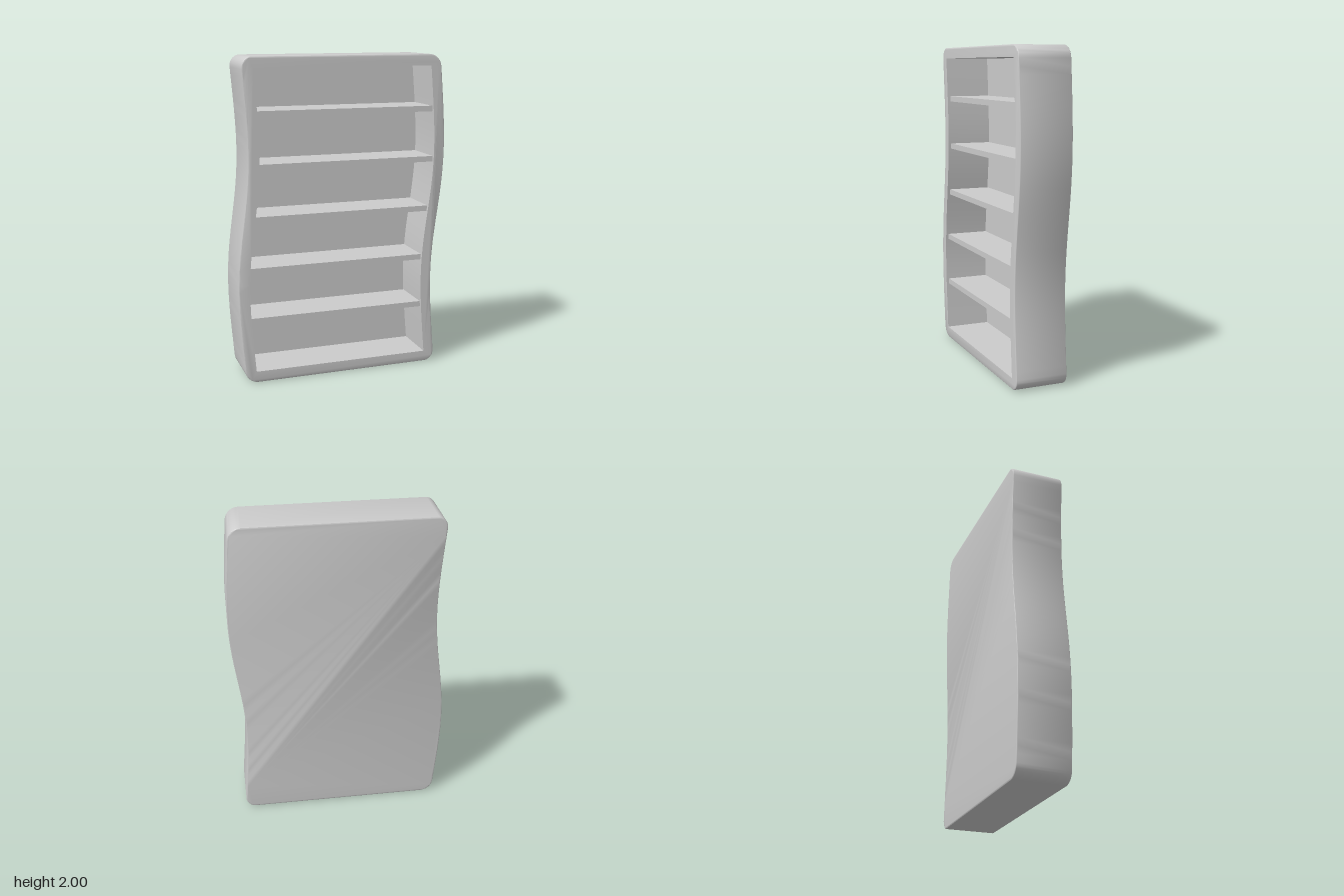
import * as THREE from 'three';
import { mergeGeometries, toCreasedNormals } from 'three/addons/utils/BufferGeometryUtils.js';

const FRONT = 0.163, FLOOR = -0.13;   // front face and recess floor along z

// Sideways sway of the cabinet at height y
const sway = (y) => {
  const u = Math.PI * (y - 1);
  return -0.003 + 0.036 * Math.sin(u) + 0.0043 * Math.sin(2 * u);
};

// Counter-clockwise swaying rectangle with rounded (r > 0) or sharp corners
function outline(w, y0, y1, r, sideSegs = 40, cornerSegs = 8) {
  const pts = [];
  const add = (x, y) => pts.push(new THREE.Vector2(x + sway(y), y));
  const corner = (cx, cy, start) => {
    if (r === 0) return;
    for (let i = 1; i < cornerSegs; i++) {
      const a = start + (i / cornerSegs) * Math.PI / 2;
      add(cx + r * Math.cos(a), cy + r * Math.sin(a));
    }
    const e = start + Math.PI / 2;
    if (Math.abs(Math.cos(e)) < 0.5) add(cx, cy + r * Math.sin(e));
  };
  const lo = y0 + r, hi = y1 - r;
  for (let i = 0; i <= sideSegs; i++) add(w, lo + (hi - lo) * i / sideSegs);
  corner(w - r, hi, 0);
  corner(r - w, hi, Math.PI / 2);
  for (let i = 0; i <= sideSegs; i++) add(-w, hi - (hi - lo) * i / sideSegs);
  corner(r - w, lo, Math.PI);
  corner(w - r, lo, Math.PI * 1.5);
  return pts;
}

// Wall through a series of { pts, z } rings
function loft(rings) {
  const pos = [], idx = [], n = rings[0].pts.length;
  for (const { pts, z } of rings) for (const p of pts) pos.push(p.x, p.y, z);
  for (let k = 0; k < rings.length - 1; k++) {
    for (let i = 0; i < n; i++) {
      const a = k * n + i, b = k * n + (i + 1) % n;
      idx.push(a, b, b + n, a, b + n, a + n);
    }
  }
  const g = new THREE.BufferGeometry();
  g.setAttribute('position', new THREE.Float32BufferAttribute(pos, 3));
  g.setIndex(idx);
  g.computeVertexNormals();
  return g.toNonIndexed();
}

// Flat face at depth z, optionally with a hole or facing backwards
function face(pts, z, hole, back) {
  const shape = new THREE.Shape(pts);
  if (hole) shape.holes.push(new THREE.Path(hole));
  const g = new THREE.ShapeGeometry(shape);
  g.translate(0, 0, z);
  if (back) g.setIndex(Array.from(g.index.array).reverse());
  g.deleteAttribute('uv');
  g.computeVertexNormals();
  return g.toNonIndexed();
}

export function createModel() {
  const model = new THREE.Group();
  model.name = 'wavyBookcase';
  const mat = new THREE.MeshStandardMaterial({ color: 0xcccccc });
  const add = (name, geo) => {
    const m = new THREE.Mesh(geo, mat);
    m.name = name;
    model.add(m);
  };

  // Cabinet: softened outer shell with a sharp-edged recess
  const outer = (d) => outline(0.633 - d, d, 2 - d, 0.075 - d);
  const inner = outline(0.564, 0.07, 1.93, 0);
  const b = 0.007, steps = 4, rings = [];
  for (let i = 0; i <= steps; i++) {
    const a = (i / steps) * Math.PI / 2;
    rings.push({ pts: outer(b * (1 - Math.sin(a))), z: -FRONT + b * (1 - Math.cos(a)) });
  }
  for (let i = steps; i >= 0; i--) rings.push({ pts: rings[i].pts, z: -rings[i].z });
  const rim = rings[0].pts;
  add('cabinet', toCreasedNormals(mergeGeometries([
    loft(rings),
    face(rim, -FRONT, null, true),
    face(rim, FRONT, inner),
    loft([{ pts: inner, z: FRONT }, { pts: inner, z: FLOOR }]),
    face(inner, FLOOR),
  ]), Math.PI / 5));

  // Shelves, their ends following the swaying sides
  for (let i = 0; i < 5; i++) {
    const y = 0.375 + i * 0.3175;
    const shape = new THREE.Shape(outline(0.566, y, y + 0.035, 0, 2));
    const geo = new THREE.ExtrudeGeometry(shape, { depth: 0.145 - FLOOR, bevelEnabled: false });
    geo.translate(0, 0, FLOOR);
    add('shelf' + (i + 1), geo);
  }
  return model;
}
